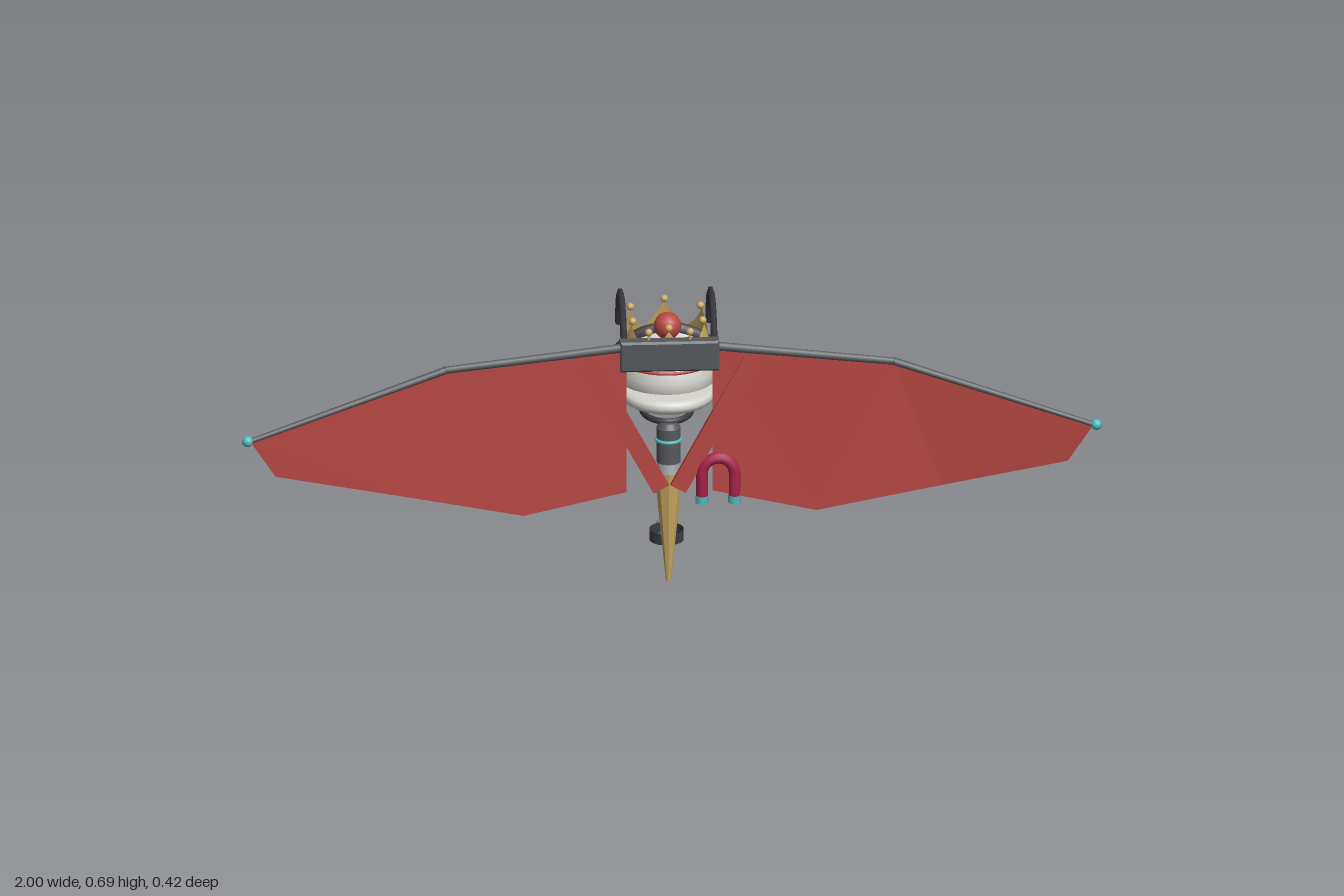
import * as THREE from 'three';

const mat = (name, color, double) => {
  const m = new THREE.MeshStandardMaterial({ color });
  m.name = name;
  if (double) m.side = THREE.DoubleSide;
  return m;
};

export function createModel() {
  const root = new THREE.Group();
  root.name = 'flyingAccessorySet';
  const red = mat('red', 0xb84844, true);
  const white = mat('offWhite', 0xd6d4ce);
  const gold = mat('gold', 0xc8a861, true);
  const dark = mat('charcoal', 0x3b3b41, true);
  const grey = mat('slateGrey', 0x56585b);
  const teal = mat('teal', 0x4fbcbc);
  const magenta = mat('magenta', 0xa8224a);
  const silver = mat('silver', 0x94969a);

  const add = (name, geo, material, x = 0, y = 0, z = 0) => {
    const m = new THREE.Mesh(geo, material);
    m.name = name;
    m.position.set(x, y, z);
    root.add(m);
    return m;
  };
  const V = (x, y, z) => new THREE.Vector3(x, y, z);
  // Straight rod or bar between two points
  const between = (name, geo, material, a, b) => {
    const m = add(name, geo, material);
    m.position.copy(a).add(b).multiplyScalar(0.5);
    m.quaternion.setFromUnitVectors(V(0, 1, 0), b.clone().sub(a).normalize());
    return m;
  };
  const rod = (name, a, b, r1, r2, material) =>
    between(name, new THREE.CylinderGeometry(r2, r1, a.distanceTo(b), 8), material, a, b);
  const ball = (name, r, material, x, y, z) => add(name, new THREE.SphereGeometry(r, 14, 10), material, x, y, z);
  const cyl = (name, rt, rb, y0, y1, material, z, n = 20) =>
    add(name, new THREE.CylinderGeometry(rt, rb, y1 - y0, n), material, 0, (y0 + y1) / 2, z);

  // Wings: folded membrane, leading spar, tip lamp and strap
  for (const s of [1, -1]) {
    const p = [[0.1, 0.6, 0.098], [0.52, 0.562, 0.122], [0.98, 0.425, 0.2], [0.1, 0.24, 0.1],
      [0.34, 0.19, 0.11], [0.63, 0.257, 0.138], [0.92, 0.33, 0.186]].map(([x, y, z]) => V(s * x, y, z));
    const faces = [[0, 3, 4], [0, 4, 1], [1, 4, 5], [1, 5, 2], [2, 5, 6]];
    const pts = faces.flatMap(f => (s > 0 ? f : [f[0], f[2], f[1]]).map(i => p[i]));
    const geo = new THREE.BufferGeometry().setFromPoints(pts);
    geo.computeVertexNormals();
    add('wingMembrane', geo, red);
    rod('wingSparInner', p[0], p[1], 0.011, 0.009, grey);
    rod('wingSparOuter', p[1], p[2], 0.009, 0.006, grey);
    ball('wingJoint', 0.009, grey, p[1].x, p[1].y, p[1].z);
    ball('wingTipLamp', 0.013, teal, s * 0.986, 0.425, 0.2);
    const a = V(s * 0.19, 0.565, 0.099), b = V(s * 0.02, 0.247, 0.099);
    between('strap', new THREE.BoxGeometry(0.04, a.distanceTo(b), 0.015), red, b, a);
    // Antenna on the pack
    rod('antennaStem', V(s * 0.048, 0.61, 0.095), V(s * 0.048, 0.632, 0.095), 0.004, 0.003, gold);
    ball('antennaBall', 0.009, gold, s * 0.048, 0.635, 0.095);
  }

  // Bevelled pack between the wings
  const packShape = new THREE.Shape();
  packShape.moveTo(-0.11, -0.032).lineTo(0.11, -0.032).lineTo(0.11, 0.032).lineTo(-0.11, 0.032);
  add('pack', new THREE.ExtrudeGeometry(packShape, {
    depth: 0.026, bevelSize: 0.005, bevelThickness: 0.005, bevelSegments: 1,
  }), grey, 0, 0.58, 0.084);

  // Horseshoe magnet
  add('magnetArch', new THREE.TorusGeometry(0.038, 0.014, 10, 16, Math.PI), magenta, 0.113, 0.283, 0.1);
  for (const x of [0.075, 0.151]) {
    rod('magnetLeg', V(x, 0.228, 0.1), V(x, 0.284, 0.1), 0.014, 0.014, magenta);
    rod('magnetTip', V(x, 0.21, 0.1), V(x, 0.228, 0.1), 0.015, 0.015, teal);
  }

  // Peg leg
  const peg = cyl('pegSpike', 0.033, 0.006, 0, 0.275, gold, 0.055, 8);
  peg.geometry = peg.geometry.toNonIndexed();
  peg.geometry.computeVertexNormals();
  cyl('pegCollar', 0.024, 0.032, 0.275, 0.298, silver, 0.055);
  cyl('pegSocket', 0.028, 0.028, 0.298, 0.383, grey, 0.055);
  cyl('pegCap', 0.02, 0.028, 0.383, 0.396, grey, 0.055);
  add('pegRing', new THREE.TorusGeometry(0.028, 0.0045, 8, 24), teal, 0, 0.353, 0.055).rotation.x = Math.PI / 2;

  // Wrist watch
  add('watchBand', new THREE.CylinderGeometry(0.04, 0.04, 0.027, 24, 1, true), dark, 0, 0.083, -0.03);
  const dial = (name, r, d, m, z) => {
    add(name, new THREE.CylinderGeometry(r, r, d, 20), m, 0, 0.083, z).rotation.x = Math.PI / 2;
  };
  dial('watchCase', 0.023, 0.014, silver, -0.075);
  dial('watchFace', 0.018, 0.004, teal, -0.083);

  // Cap: dome, brim roll, red piping and back-facing bill
  const cz = -0.0265;
  const dome = [[0.1, 0.47], [0.113, 0.47], [0.112, 0.5], [0.105, 0.53], [0.09, 0.56], [0.066, 0.585], [0.035, 0.597], [0, 0.6]]
    .map(([x, y]) => new THREE.Vector2(x, y));
  add('capDome', new THREE.LatheGeometry(dome, 32), white, 0, 0, cz);
  const roll = [[0, 0.442], [0.103, 0.442], [0.112, 0.449], [0.115, 0.459], [0.112, 0.469], [0.1, 0.475], [0, 0.475]]
    .map(([x, y]) => new THREE.Vector2(x, y));
  add('brimRoll', new THREE.LatheGeometry(roll, 32), white, 0, 0, 0.01).scale.z = 1.15;
  add('capPiping', new THREE.TorusGeometry(0.108, 0.004, 8, 36), red, 0, 0.525, cz).rotation.x = Math.PI / 2;
  const bill = new THREE.PlaneGeometry(1, 1, 14, 4);
  const bp = bill.attributes.position;
  for (let i = 0; i < bp.count; i++) {
    const u = bp.getX(i) * 2, v = bp.getY(i) + 0.5;
    const x = 0.095 * u, inner = cz - Math.sqrt(0.0125 - x * x);
    const outer = -0.085 - 0.125 * Math.sqrt(Math.max(0, 1 - u * u));
    const z = THREE.MathUtils.lerp(inner, outer, v);
    bp.setXYZ(i, x, 0.492 + 0.014 * v - 0.016 * u * u, z);
  }
  bill.computeVertexNormals();
  add('capBill', bill, red);
  ball('capPompom', 0.032, red, 0, 0.617, 0.008);
  add('badge', new THREE.CylinderGeometry(0.011, 0.011, 0.005, 12), gold, 0, 0.522, -0.145).rotation.x = -0.9;

  // Crown: zigzag ring with six points, pearls and gems
  const crown = new THREE.CylinderGeometry(0.098, 0.106, 1, 24, 1, true);
  const cp = crown.attributes.position;
  const heights = [0.626, 0.59, 0.568, 0.59];
  for (let i = 0; i < cp.count; i++) cp.setY(i, cp.getY(i) > 0 ? heights[(i % 25) % 4] : 0.546);
  crown.computeVertexNormals();
  add('crown', crown, gold, 0, 0, cz);
  for (let k = 0; k < 6; k++) {
    const a = k * Math.PI / 3, sx = Math.sin(a), sz = Math.cos(a);
    ball('crownPearl', 0.009, gold, 0.094 * sx, 0.634, cz + 0.094 * sz);
    ball('crownGem', 0.01, magenta, 0.106 * sx, 0.543, cz + 0.106 * sz);
  }

  // Headphones
  const bandCurve = new THREE.CatmullRomCurve3(Array.from({ length: 13 }, (_, i) => {
    const a = Math.PI * i / 12;
    return V(0.142 * Math.cos(a), 0.435 + 0.165 * Math.pow(Math.max(0, Math.sin(a)), 0.8), -0.016);
  }));
  add('headband', new THREE.TubeGeometry(bandCurve, 28, 0.017, 8), dark);
  for (const s of [1, -1]) {
    add('earCup', new THREE.CylinderGeometry(0.05, 0.05, 0.042, 28), grey, s * 0.147, 0.424, -0.02).rotation.z = Math.PI / 2;
    add('earCupRing', new THREE.TorusGeometry(0.037, 0.004, 8, 28), teal, s * 0.168, 0.424, -0.02).rotation.y = Math.PI / 2;
    // Curved hook over the head
    const hook = new THREE.CatmullRomCurve3(Array.from({ length: 10 }, (_, i) => {
      const a = Math.PI * (0.01 + 0.96 * i / 9);
      return V(0, 0.56 + 0.114 * Math.sin(a), -0.036 - 0.118 * Math.cos(a));
    }));
    add('hook', new THREE.TubeGeometry(hook, 12, 0.013, 6), dark, s * 0.105, 0, 0).scale.x = 0.6;
    // Moustache half: tapering lumps curling around the cap
    for (let i = 0; i < 6; i++) {
      const a = 0.1 + i * 0.17;
      const lump = ball('moustacheLump', 0.024 - i * 0.0025, dark,
        s * 0.125 * Math.sin(a), 0.442 + 0.003 * i, cz - 0.112 * Math.cos(a));
      lump.scale.set(1, 1.15 - 0.06 * i, 0.7);
    }
  }

  // Collar ring under the head
  const collar = new THREE.TorusGeometry(0.085, 0.008, 8, 32);
  collar.rotateX(Math.PI / 2);
  add('collarRing', collar, dark, 0, 0.397, -0.03).scale.set(0.7, 1, 1.03);

  return root;
}
